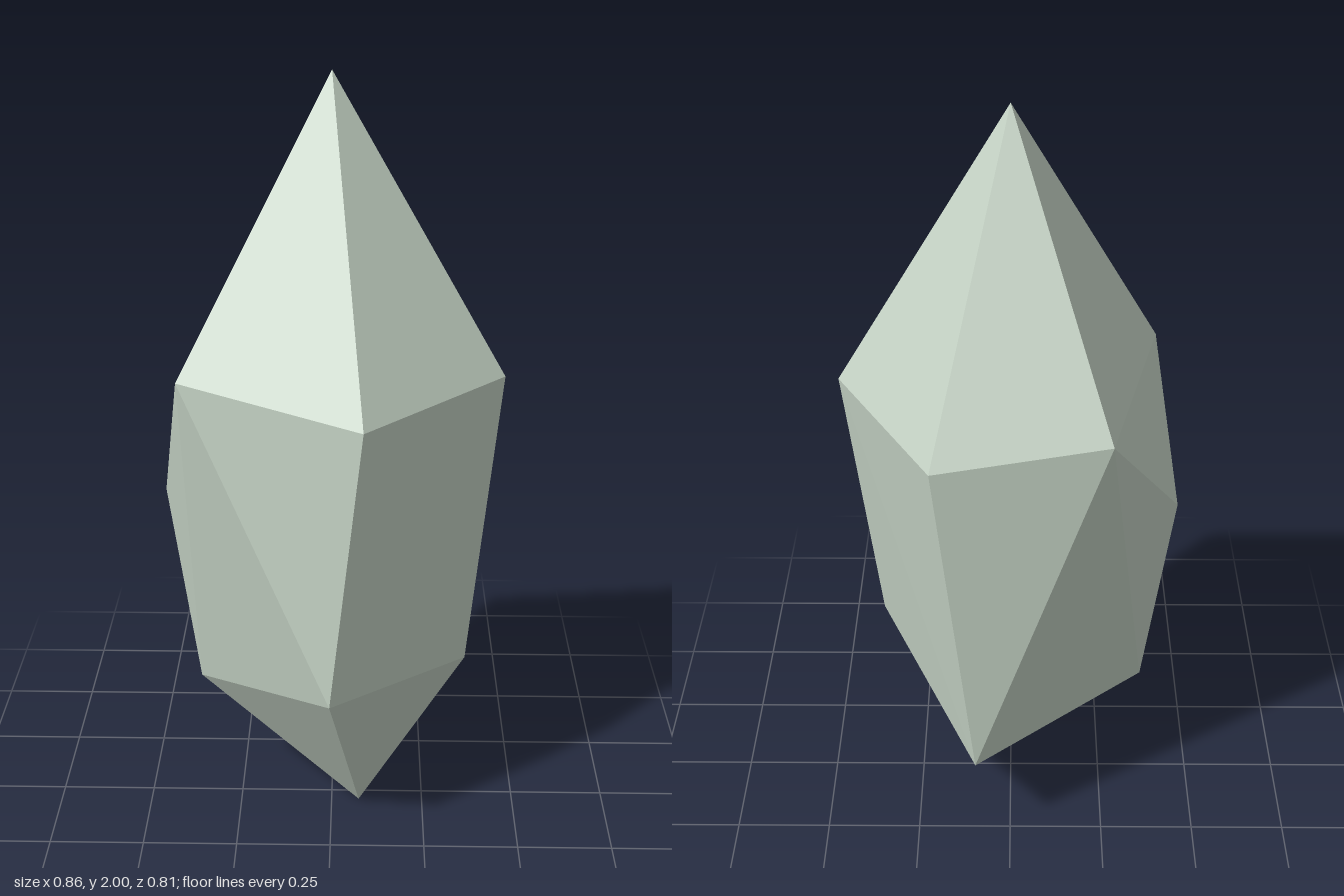
import * as THREE from 'three';
import { ConvexGeometry } from 'three/addons/geometries/ConvexGeometry.js';

export function createModel() {
  const group = new THREE.Group();
  group.name = 'crystal';

  // Corners of the cut stone, from the top down
  const tip = [[0, 2, -0.02]];
  const shoulder = [
    [0.08, 1.26, 0.405],
    [0.43, 1.26, 0.035],
    [0.185, 1.26, -0.405],
    [-0.24, 1.3, -0.35],
    [-0.37, 1.3, 0.2],
  ];
  const sideCorner = [[-0.43, 0.92, -0.02]];
  const lowerRing = [
    [0, 0.495, 0.355],
    [0.35, 0.495, 0.1],
    [0.09, 0.32, -0.35],
    [-0.355, 0.36, -0.02],
  ];
  const foot = [[0.075, 0, 0.04]];

  // Flat facets span the corners
  const corners = [...tip, ...shoulder, ...sideCorner, ...lowerRing, ...foot]
    .map((p) => new THREE.Vector3(...p));
  const stone = new THREE.Mesh(
    new ConvexGeometry(corners),
    new THREE.MeshStandardMaterial({ color: 0xc6d4c6, flatShading: true }),
  );
  stone.name = 'crystalShard';
  group.add(stone);

  return group;
}
